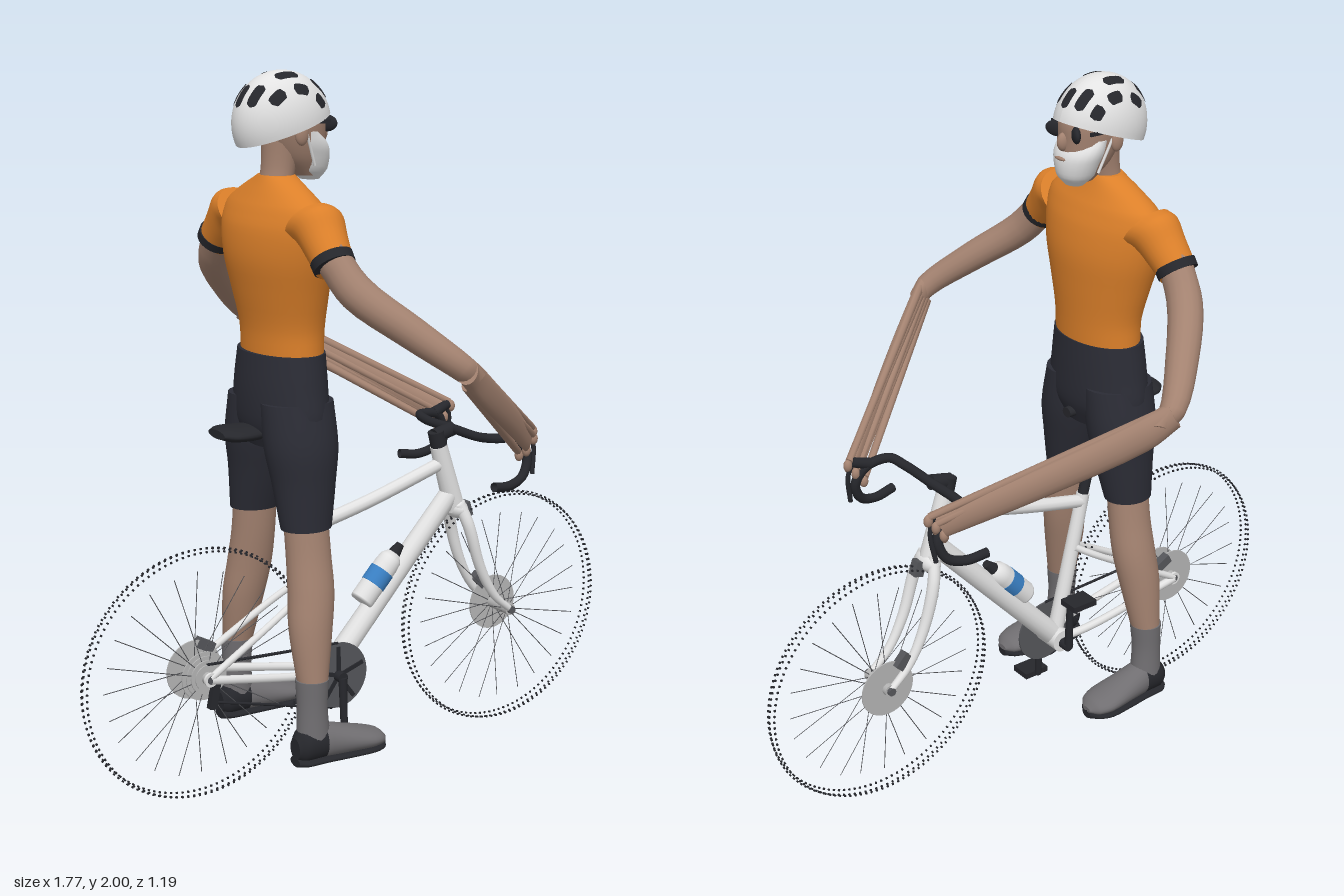
import * as THREE from 'three';
import { mergeGeometries } from 'three/addons/utils/BufferGeometryUtils.js';

const V3 = (x, y, z) => new THREE.Vector3(x, y, z);
const mat = (name, color) => Object.assign(new THREE.MeshStandardMaterial({ color, side: THREE.DoubleSide }), { name });

export function createModel() {
  const white = mat('white', 0xe2e2e2), black = mat('black', 0x26272c), orange = mat('jersey orange', 0xdc802a);
  const skin = mat('skin', 0xa38270), navy = mat('shorts', 0x2b2c35), grey = mat('shoe grey', 0x706e71);
  const silver = mat('silver', 0xb4b4b4), blue = mat('label blue', 0x3a80c4), steel = mat('dark steel', 0x55565a);
  const root = new THREE.Group();
  const X = V3(1, 0, 0), Y = V3(0, 1, 0), Z = V3(0, 0, 1);

  function add(name, geo, m, pos = [0, 0, 0], rot = [0, 0, 0], parent = root) {
    const mesh = new THREE.Mesh(geo, m);
    mesh.name = name;
    mesh.position.set(...pos);
    mesh.rotation.set(...rot);
    parent.add(mesh);
    return mesh;
  }

  // Smooth capped skin over elliptical sections [x, y, z, ru, rv]
  function loft(secs, U, V, n = 24, per = 4) {
    const cc = new THREE.CatmullRomCurve3(secs.map(s => V3(s[0], s[1], s[2])));
    const rc = new THREE.CatmullRomCurve3(secs.map((s, i) => V3(s[3], s[4], i * 0.05)));
    const d = cc.getPoint(1).sub(cc.getPoint(0));
    if (U.clone().cross(V).dot(d) < 0) V = V.clone().negate();
    const rows = (secs.length - 1) * per, pos = [], idx = [];
    const ring = t => {
      const c = cc.getPoint(t), r = rc.getPoint(t);
      for (let j = 0; j < n; j++) {
        const a = j / n * Math.PI * 2;
        pos.push(...c.clone().addScaledVector(U, r.x * Math.cos(a)).addScaledVector(V, r.y * Math.sin(a)).toArray());
      }
    };
    for (let i = 0; i <= rows; i++) ring(i / rows);
    for (let i = 0; i < rows; i++) for (let j = 0; j < n; j++) {
      const a = i * n + j, b = i * n + (j + 1) % n;
      idx.push(a, b, a + n, b, b + n, a + n);
    }
    for (const t of [0, 1]) {
      const base = pos.length / 3;
      ring(t);
      pos.push(...cc.getPoint(t).toArray());
      for (let j = 0; j < n; j++) {
        const a = base + j, b = base + (j + 1) % n;
        idx.push(base + n, t ? a : b, t ? b : a);
      }
    }
    const g = new THREE.BufferGeometry();
    g.setAttribute('position', new THREE.Float32BufferAttribute(pos, 3));
    g.setIndex(idx);
    g.computeVertexNormals();
    return g;
  }
  const stack = (secs, n) => loft(secs, X, Z, n);
  function limb(secs, n = 16) {
    const a = secs[0], b = secs[secs.length - 1];
    const d = V3(b[0] - a[0], b[1] - a[1], b[2] - a[2]).normalize();
    const U = Y.clone().cross(d);
    if (U.length() < 0.01) U.copy(X);
    U.normalize();
    return loft(secs.map(s => [s[0], s[1], s[2], s[3], s[4] ?? s[3]]), U, d.clone().cross(U), n);
  }
  const rod = (a, b, r, r2 = r, n = 14) => loft([[...a, r, r], [...b, r2, r2]], ...frame(a, b), n, 1);
  function frame(a, b) {
    const d = V3(...b).sub(V3(...a)).normalize();
    const U = (Math.abs(d.y) > 0.99 ? X : Y).clone().cross(d).normalize();
    return [U, d.clone().cross(U)];
  }
  const tube = (pts, r, seg = 30) => new THREE.TubeGeometry(new THREE.CatmullRomCurve3(pts.map(p => V3(...p))), seg, r, 10);
  const disc = (r, h, n = 32) => new THREE.CylinderGeometry(r, r, h, n).rotateX(Math.PI / 2);
  const ball = (rx, ry, rz) => new THREE.SphereGeometry(1, 20, 14).scale(rx, ry, rz);

  // Wheels: studded tyre, spokes, hub and rotor
  for (const [name, cx] of [['rearWheel', -0.525], ['frontWheel', 0.523]]) {
    const wheel = new THREE.Group();
    wheel.name = name;
    wheel.position.set(cx, 0.362, 0);
    root.add(wheel);
    const studs = [], spokes = [];
    for (const [z, r, off] of [[-0.017, 0.353, 0], [0, 0.359, 0.5], [0.017, 0.353, 0]])
      for (let i = 0; i < 120; i++)
        studs.push(new THREE.BoxGeometry(0.005, 0.005, 0.005).translate(r, 0, z).rotateZ((i + off) / 120 * Math.PI * 2));
    for (let i = 0; i < 24; i++) {
      const s = i % 2 ? 1 : -1;
      spokes.push(rod([0.02, 0, s * 0.035], [0.295, 0, s * 0.004], 0.0013, 0.0013, 4).rotateZ(i / 24 * Math.PI * 2));
    }
    add('tyreStuds', mergeGeometries(studs), black, [0, 0, 0], [0, 0, 0], wheel);
    add('spokes', mergeGeometries(spokes), steel, [0, 0, 0], [0, 0, 0], wheel);
    add('hub', disc(0.018, 0.11), silver, [0, 0, 0], [0, 0, 0], wheel);
    add('brakeRotor', disc(0.085, 0.004), silver, [0, 0, -0.038], [0, 0, 0], wheel);
    add('axleCap', disc(0.012, 0.13), steel, [0, 0, 0], [0, 0, 0], wheel);
    if (cx < 0) for (let i = 0; i < 4; i++)
      add('cassetteCog', disc(0.07 - i * 0.011, 0.004), silver, [0, 0, 0.022 + i * 0.006], [0, 0, 0], wheel);
  }

  // Frame and fork
  add('topTube', tube([[-0.2, 0.715, 0], [0.04, 0.77, 0], [0.295, 0.845, 0]], 0.02), white);
  add('downTube', rod([0.325, 0.745, 0], [-0.1, 0.285, 0], 0.03, 0.034), white);
  add('seatTube', rod([-0.1, 0.28, 0], [-0.205, 0.74, 0], 0.024, 0.02), white);
  add('headTube', rod([0.285, 0.9, 0], [0.345, 0.7, 0], 0.026, 0.032), white);
  add('bottomBracket', disc(0.035, 0.09), white, [-0.1, 0.285, 0]);
  add('seatPost', rod([-0.2, 0.72, 0], [-0.27, 1.0, 0], 0.016), black);
  add('saddle', loft([[-0.46, 1.035, 0, 0.012, 0.045], [-0.43, 1.033, 0, 0.02, 0.07], [-0.37, 1.03, 0, 0.022, 0.065],
    [-0.27, 1.027, 0, 0.018, 0.028], [-0.14, 1.022, 0, 0.015, 0.018]], Y, Z), black);
  for (const s of [1, -1]) {
    add('forkLeg', limb([[0.345, 0.72, s * 0.025, 0.018], [0.365, 0.65, s * 0.048, 0.018], [0.405, 0.52, s * 0.052, 0.016],
      [0.46, 0.42, s * 0.053, 0.013], [0.523, 0.362, s * 0.054, 0.011]]), white);
    add('seatStay', tube([[-0.165, 0.575, s * 0.015], [-0.24, 0.53, s * 0.04], [-0.525, 0.365, s * 0.058]], 0.0105), white);
    add('chainStay', tube([[-0.1, 0.285, s * 0.025], [-0.2, 0.3, s * 0.045], [-0.525, 0.36, s * 0.058]], 0.0125), white);
    add('dropout', disc(0.02, 0.008), white, [-0.525, 0.362, s * 0.06]);
  }
  add('forkCrown', ball(0.03, 0.03, 0.05), white, [0.35, 0.7, 0]);
  add('lampMount', new THREE.BoxGeometry(0.03, 0.045, 0.03), steel, [0.385, 0.69, 0], [0, 0, 0.3]);
  add('rearCaliper', new THREE.BoxGeometry(0.055, 0.03, 0.025), steel, [-0.485, 0.425, -0.045], [0, 0, -0.5]);
  add('frontCaliper', new THREE.BoxGeometry(0.05, 0.03, 0.025), steel, [0.475, 0.44, -0.045], [0, 0, -0.8]);

  // Drivetrain
  add('chainring', disc(0.098, 0.006, 40), steel, [-0.1, 0.28, 0.045]);
  for (let i = 0; i < 5; i++)
    add('chainringArm', new THREE.BoxGeometry(0.012, 0.085, 0.004).translate(0, 0.045, 0), black, [-0.1, 0.28, 0.05], [0, 0, i * Math.PI * 0.4]);
  add('chainTop', rod([-0.1, 0.378, 0.045], [-0.525, 0.4, 0.04], 0.004), black);
  add('chainBottom', rod([-0.12, 0.185, 0.045], [-0.5, 0.285, 0.04], 0.004), black);
  add('derailleur', new THREE.BoxGeometry(0.022, 0.085, 0.02), black, [-0.51, 0.315, 0.05], [0, 0, -0.2]);
  add('crankAxle', disc(0.016, 0.15), black, [-0.1, 0.28, 0]);
  for (const s of [1, -1]) {
    add('crank', rod([-0.1, 0.28, s * 0.072], [-0.1, 0.28 - s * 0.178, s * 0.08], 0.013, 0.01), black);
    add('pedal', new THREE.BoxGeometry(0.082, 0.018, 0.065), black, [-0.1, 0.28 - s * 0.178, s * 0.118]);
  }

  // Drop handlebar, stem and levers
  add('stem', rod([0.27, 0.93, 0], [0.335, 0.945, 0], 0.022), black);
  add('steererSpacer', rod([0.275, 0.945, 0], [0.29, 0.885, 0], 0.025), black);
  for (const s of [1, -1]) {
    add('handlebar', tube([[0.335, 0.945, 0], [0.335, 0.945, s * 0.13], [0.35, 0.95, s * 0.185], [0.42, 0.94, s * 0.195],
      [0.452, 0.89, s * 0.205], [0.43, 0.835, s * 0.215], [0.375, 0.815, s * 0.225], [0.31, 0.822, s * 0.235]], 0.014, 50), black);
    add('brakeHood', rod([0.41, 0.945, s * 0.196], [0.465, 0.965, s * 0.2], 0.017, 0.014), black);
    add('brakeLever', tube([[0.46, 0.965, s * 0.2], [0.475, 0.92, s * 0.205], [0.465, 0.835, s * 0.215]], 0.007), black);
  }

  // Water bottle lying along the down tube
  const bottle = new THREE.Group();
  bottle.name = 'bottle';
  bottle.position.set(0.01, 0.47, 0);
  bottle.rotation.z = -0.75;
  root.add(bottle);
  const profile = [[0, 0], [0.033, 0], [0.036, 0.008], [0.036, 0.13], [0.033, 0.155], [0.02, 0.172], [0, 0.174]];
  add('bottleBody', new THREE.LatheGeometry(profile.map(p => new THREE.Vector2(...p)), 24), white, [0, 0, 0], [0, 0, 0], bottle);
  add('bottleLabel', new THREE.CylinderGeometry(0.0375, 0.0375, 0.05, 24), blue, [0, 0.085, 0], [0, 0, 0], bottle);
  add('bottleCap', new THREE.CylinderGeometry(0.012, 0.02, 0.035, 16), black, [0, 0.188, 0], [0, 0, 0], bottle);
  add('bottleCage', new THREE.BoxGeometry(0.02, 0.12, 0.025), black, [0.045, 0.06, 0], [0, 0, 0], bottle);

  // Torso and pelvis
  add('jersey', stack([[-0.25, 1.245, 0, 0.097, 0.15], [-0.25, 1.32, 0, 0.1, 0.153], [-0.256, 1.42, 0, 0.112, 0.18],
    [-0.262, 1.51, 0, 0.12, 0.208], [-0.266, 1.59, 0, 0.11, 0.222], [-0.266, 1.645, 0, 0.088, 0.212],
    [-0.265, 1.685, 0, 0.066, 0.15], [-0.262, 1.725, 0, 0.046, 0.062]], 36), orange);
  add('shortsHips', stack([[-0.253, 1.25, 0, 0.104, 0.157], [-0.256, 1.15, 0, 0.11, 0.172], [-0.256, 1.06, 0, 0.108, 0.182],
    [-0.256, 0.99, 0, 0.085, 0.12]], 32), navy);
  add('neck', stack([[-0.268, 1.69, 0, 0.045, 0.052], [-0.255, 1.75, 0, 0.047, 0.05], [-0.24, 1.84, 0, 0.06, 0.06]]), skin);

  for (const s of [1, -1]) {
    // Leg, sock and shoe
    add('shortsLeg', stack([[-0.257, 1.12, s * 0.085, 0.105, 0.088], [-0.257, 1.0, s * 0.105, 0.105, 0.095],
      [-0.257, 0.9, s * 0.118, 0.09, 0.083], [-0.262, 0.775, s * 0.137, 0.073, 0.063]]), navy);
    add('leg', stack([[-0.262, 0.8, s * 0.135, 0.064, 0.056], [-0.262, 0.7, s * 0.148, 0.064, 0.058], [-0.266, 0.6, s * 0.166, 0.066, 0.06],
      [-0.278, 0.5, s * 0.182, 0.062, 0.057], [-0.287, 0.35, s * 0.205, 0.043, 0.043]]), skin);
    add('sock', stack([[-0.288, 0.362, s * 0.204, 0.047, 0.047], [-0.29, 0.28, s * 0.207, 0.043, 0.042], [-0.288, 0.18, s * 0.21, 0.05, 0.044]]), grey);
    const shoe = [[-0.348, 0.17, s * 0.21, 0.03, 0.025], [-0.325, 0.177, s * 0.21, 0.05, 0.043], [-0.265, 0.18, s * 0.21, 0.053, 0.047],
      [-0.2, 0.17, s * 0.212, 0.043, 0.053], [-0.12, 0.158, s * 0.213, 0.03, 0.059], [-0.08, 0.152, s * 0.213, 0.022, 0.045], [-0.06, 0.147, s * 0.213, 0.008, 0.018]];
    add('shoeUpper', loft(shoe.slice(2), Y, Z), grey);
    add('shoeHeel', loft(shoe.slice(0, 3), Y, Z), black);
    add('shoeSole', loft(shoe.map(p => [p[0], 0.131, p[2], 0.013, p[4] * 1.02]), Y, Z), black);

    // Sleeve and upper arm
    add('sleeve', limb([[-0.266, 1.61, s * 0.18, 0.075], [-0.268, 1.605, s * 0.22, 0.07], [-0.272, 1.565, s * 0.26, 0.061],
      [-0.276, 1.52, s * 0.302, 0.054]], 24), orange);
    add('sleeveBand', limb([[-0.276, 1.535, s * 0.29, 0.058], [-0.276, 1.515, s * 0.306, 0.057]], 24), black);
    add('upperArm', limb([[-0.276, 1.54, s * 0.29, 0.05], [-0.25, 1.455, s * 0.365, 0.049], [-0.15, 1.355, s * 0.475, 0.044],
      [-0.045, 1.262, s * 0.56, 0.035], [0.0, 1.225, s * 0.56, 0.026]]), skin);

    // Stretched forearm: a flat core with long finger strands
    const wide = s > 0 ? 0.018 : 0.026;
    add('forearm', limb([[-0.045, 1.26, s * 0.57, 0.028, 0.036], [0.03, 1.205, s * 0.53, wide, 0.045],
      [0.25, 1.065, s * 0.37, wide, 0.042], [0.445, 0.94, s * 0.215, wide * 0.7, 0.036]]), skin);
    for (let i = 0; i < 5; i++) {
      const k = (i - 2) / 2, z = s * (0.2 + 0.018 * (i % 2));
      add('finger', rod([-0.02 + k * 0.012, 1.24 + k * 0.024, s * 0.55], [0.448 + k * 0.025, 0.937 + k * 0.032, z], 0.014, 0.011, 8), skin);
      add('fingertip', ball(0.013, 0.018, 0.012), skin, [0.452 + k * 0.025, 0.925 + k * 0.032, z]);
    }
  }

  // Head, beard and glasses
  add('head', stack([[-0.175, 1.72, 0, 0.04, 0.04], [-0.195, 1.77, 0, 0.075, 0.066], [-0.21, 1.83, 0, 0.092, 0.081],
    [-0.22, 1.89, 0, 0.1, 0.084], [-0.23, 1.95, 0, 0.07, 0.06]]), skin);
  add('beard', stack([[-0.158, 1.708, 0, 0.025, 0.03], [-0.163, 1.735, 0, 0.052, 0.055], [-0.17, 1.78, 0, 0.062, 0.074],
    [-0.18, 1.808, 0, 0.06, 0.082], [-0.195, 1.84, 0, 0.04, 0.084]]), white);
  add('nose', ball(0.02, 0.026, 0.014), skin, [-0.12, 1.832, 0]);
  add('mouth', ball(0.006, 0.005, 0.022), skin, [-0.109, 1.787, 0]);
  for (const s of [1, -1]) {
    add('lens', ball(0.012, 0.023, 0.036), black, [-0.131, 1.858, s * 0.04], [0, s * 0.5, 0]);
    add('glassesArm', new THREE.BoxGeometry(0.1, 0.01, 0.006), black, [-0.195, 1.866, s * 0.085]);
    add('ear', ball(0.02, 0.03, 0.012), skin, [-0.235, 1.835, s * 0.086]);
    add('helmetStrap', rod([-0.23, 1.87, s * 0.09], [-0.185, 1.75, s * 0.07], 0.004), white);
  }

  // Helmet shell with a slanted rim, and thin dark vents following it
  const R = V3(0.142, 0.14, 0.106), at = [-0.245, 1.86, 0];
  function bend(w, h, f) {
    const g = new THREE.PlaneGeometry(1, 1, w, h), p = g.attributes.position, uv = g.attributes.uv;
    for (let i = 0; i < p.count; i++) p.setXYZ(i, ...f(uv.getX(i), uv.getY(i)));
    g.computeVertexNormals();
    return g;
  }
  const shell = k => bend(40, 20, (u, v) => {
    const a = -u * Math.PI * 2, t = (1 - v) * (1.685 - 0.325 * Math.cos(a));
    return [k * R.x * Math.sin(t) * Math.cos(a), k * R.y * Math.cos(t), -k * R.z * Math.sin(t) * Math.sin(a)];
  });
  add('helmet', shell(1), white, at);
  add('helmetLining', shell(0.96), black, at);
  const vent = (b, u0, u1) => add('helmetVent', bend(10, 4, (u, v) => {
    const e = Math.sqrt(Math.max(0, 1 - Math.pow(2 * u - 1, 6))), lat = b + (v - 0.5) * 0.26 * e, lon = u0 + (u1 - u0) * u;
    return [R.x * 1.015 * Math.cos(lat) * Math.sin(lon), R.y * 1.015 * Math.cos(lat) * Math.cos(lon), -R.z * 1.015 * Math.sin(lat)];
  }), black, at);
  vent(0, 0.65, 1.1);
  vent(0, -1.25, -0.75);
  for (const s of [1, -1]) {
    for (const [u0, u1] of [[-1.2, -0.65], [-0.35, 0.2], [0.5, 1.05]]) vent(s * 0.42, u0, u1);
    for (const [u0, u1] of [[-0.95, -0.4], [-0.1, 0.4], [0.65, 1.1]]) vent(s * 0.85, u0, u1);
  }
  return root;
}
